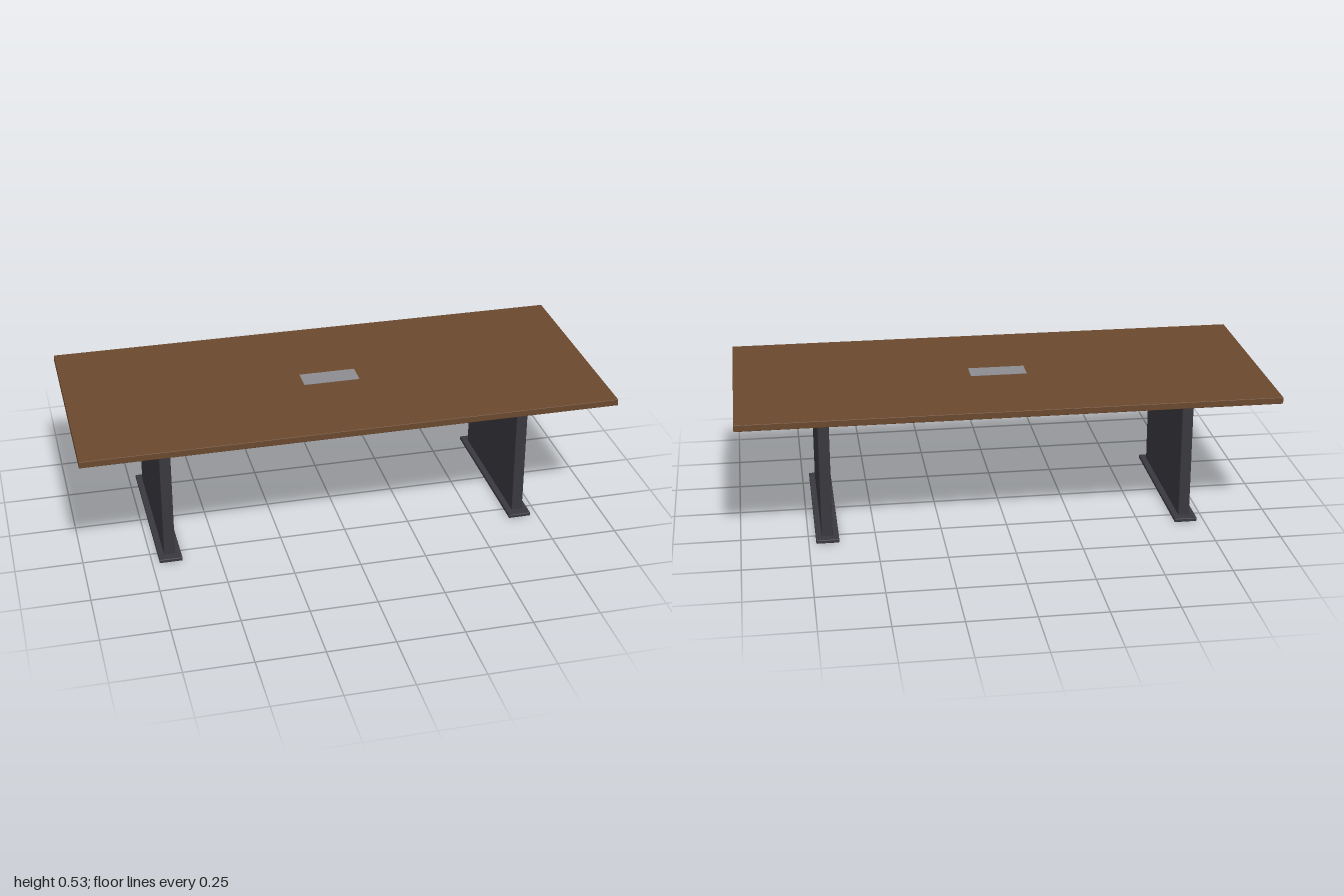
import * as THREE from 'three';
import { RoundedBoxGeometry } from 'three/addons/geometries/RoundedBoxGeometry.js';

function material(name, color) {
  const m = new THREE.MeshStandardMaterial({ color });
  m.name = name;
  return m;
}

// Softly eased slab standing on height y
function slab(name, mat, w, h, d, x, y, radius) {
  const mesh = new THREE.Mesh(new RoundedBoxGeometry(w, h, d, 2, radius), mat);
  mesh.name = name;
  mesh.position.set(x, y + h / 2, 0);
  return mesh;
}

export function createModel() {
  const wood = material('walnut brown', 0x6a482d);
  const metal = material('charcoal metal', 0x39383e);
  const silver = material('silver grey', 0x8c8c90);

  const table = new THREE.Group();
  table.name = 'conferenceTable';

  // Tabletop
  table.add(slab('tabletop', wood, 2, 0.025, 0.854, 0, 0.505, 0.002));

  // Cable cover set into the middle of the top
  const cover = new THREE.Mesh(new THREE.BoxGeometry(0.214, 0.004, 0.086), silver);
  cover.name = 'cableCover';
  cover.position.set(0, 0.529, 0);
  table.add(cover);

  // Panel legs on flat feet, mirrored
  for (const side of [1, -1]) {
    const leg = new THREE.Group();
    leg.name = side > 0 ? 'leftLeg' : 'rightLeg';
    leg.add(slab('legPanel', metal, 0.042, 0.494, 0.57, 0, 0.012, 0.003));
    leg.add(slab('foot', metal, 0.086, 0.014, 0.642, 0, 0, 0.003));
    leg.position.x = side * 0.68;
    table.add(leg);
  }
  return table;
}
